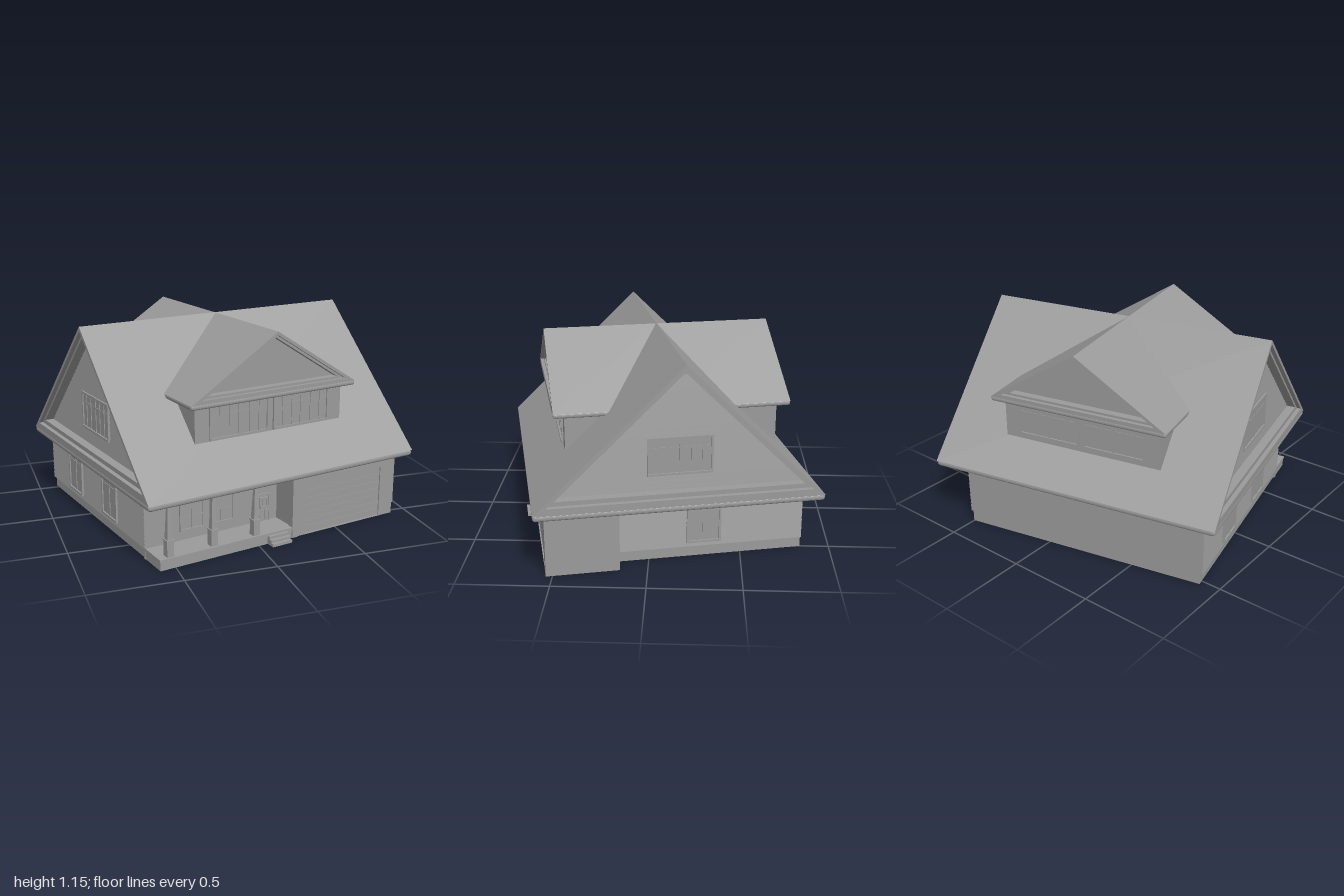
import * as THREE from 'three';
import { RoundedBoxGeometry } from 'three/addons/geometries/RoundedBoxGeometry.js';

const mat = new THREE.MeshStandardMaterial({ color: 0x9b9b9b, flatShading: true, side: THREE.DoubleSide });

function add(parent, name, geo) {
  const m = new THREE.Mesh(geo, mat);
  m.name = name;
  parent.add(m);
  return m;
}

// box given by its limits on each axis, with optional rounded edges
function box(parent, name, x0, x1, y0, y1, z0, z1, round = 0) {
  const size = [x1 - x0, y1 - y0, z1 - z0];
  const g = round ? new RoundedBoxGeometry(...size, 2, round) : new THREE.BoxGeometry(...size);
  g.translate((x0 + x1) / 2, (y0 + y1) / 2, (z0 + z1) / 2);
  return add(parent, name, g);
}

function group(parent, name, x = 0, y = 0, z = 0, ry = 0) {
  const g = new THREE.Group();
  g.name = name;
  g.position.set(x, y, z);
  g.rotation.y = ry;
  parent.add(g);
  return g;
}

// triangular prism along z with its peak at x = px; drop > 0 opens it to a frame
function gable(hw, y0, y1, z0, z1, px = 0, drop = 0, sill = 0) {
  const tri = (Cls, k, a, b) => {
    const s = new Cls();
    s.moveTo(px + (-hw - px) * k, a); s.lineTo(px + (hw - px) * k, a); s.lineTo(px, b); s.closePath();
    return s;
  };
  const shape = tri(THREE.Shape, 1, y0, y1);
  if (drop) shape.holes.push(tri(THREE.Path, (y1 - drop - y0 - sill) / (y1 - y0), y0 + sill, y1 - drop));
  const g = new THREE.ExtrudeGeometry(shape, { depth: z1 - z0, bevelEnabled: false });
  return g.translate(0, 0, z0);
}

// window facing +z: glass, frame and glazing bars, origin at bottom centre
function windowUnit(parent, name, x, y, z, ry, w, h, cols, transom = 0.72) {
  const g = group(parent, name, x, y, z, ry), t = 0.012;
  box(g, 'glass', -w / 2, w / 2, 0, h, -0.01, 0.003);
  for (const s of [-1, 1]) {
    const c = s * (w - t) / 2;
    box(g, 'frameSide', c - t / 2, c + t / 2, 0, h, 0, 0.01);
  }
  box(g, 'frameTop', -w / 2, w / 2, h - t, h, 0, 0.01);
  box(g, 'frameSill', -w / 2, w / 2, 0, t, 0, 0.012);
  for (let i = 1; i < cols; i++) {
    const c = -w / 2 + w * i / cols, b = i * 2 === cols ? 0.007 : 0.002;
    box(g, 'upright', c - b, c + b, 0, h, 0, 0.007);
  }
  box(g, 'transom', -w / 2, w / 2, h * transom - 0.003, h * transom + 0.003, 0, 0.006);
  return g;
}

// one wedge-shaped clapboard facing +x, running along z
function clapboard(parent, x, y, h, z0, z1) {
  const s = new THREE.Shape();
  s.moveTo(-0.004, 0); s.lineTo(0.007, 0); s.lineTo(0.002, h); s.lineTo(-0.004, h); s.closePath();
  const g = new THREE.ExtrudeGeometry(s, { depth: z1 - z0, bevelEnabled: false });
  add(parent, 'clapboard', g.translate(x, y, z0));
}

// wall planes: left and right ends, garage end, gable ends, front, back, porch
const LEFT = 0.68, RIGHT = 0.764, GEND = 0.774, END = 0.768;
const FRONT = 0.717, BACK = -0.71, PORCH = 0.555, GAR = 0.06, GBACK = 0.322;
const EAVE = 0.39, RIDGE = 1.15, ROOFW = 0.777, ROOFL = 0.85, RIDGEZ = -0.013;

function buildWalls(house) {
  const t = 0.02, f = 0.009, top = 0.365, base = 0.065;
  const walls = group(house, 'walls');
  box(walls, 'backWall', -RIGHT, LEFT, base, top, BACK, BACK + t);
  box(walls, 'leftWall', LEFT - t, LEFT, base, top, BACK, GBACK);
  box(walls, 'rightWall', -RIGHT, -RIGHT + t, base, top, BACK, PORCH);
  box(walls, 'porchWall', -RIGHT, GAR, 0, top, PORCH - t, PORCH);
  // foundation set in slightly under the end walls
  box(walls, 'foundationBack', -RIGHT + f, LEFT - f, 0, base, BACK, BACK + t);
  box(walls, 'foundationLeft', LEFT - t, LEFT - f, 0, base, BACK, GBACK);
  box(walls, 'foundationRight', -RIGHT + f, -RIGHT + t, 0, base, BACK, PORCH);
  box(walls, 'foundationGarage', GEND - t, GEND - f, 0, base, GBACK, FRONT);
  // garage stands out past the left wall
  box(walls, 'garageSideWall', GAR, GAR + t, 0, top, PORCH - t, FRONT);
  box(walls, 'garageOuterWall', GEND - t, GEND, base, top, GBACK, FRONT);
  box(walls, 'garageReturn', LEFT - t, GEND, base, top, GBACK, GBACK + t);
  box(walls, 'garageReturnFoundation', LEFT - t, GEND - f, 0, base, GBACK, GBACK + t);
  const s = new THREE.Shape();
  s.moveTo(GAR, 0); s.lineTo(GEND - f, 0); s.lineTo(GEND - f, base);
  s.lineTo(GEND, base); s.lineTo(GEND, top); s.lineTo(GAR, top); s.closePath();
  const h = new THREE.Path();
  h.moveTo(0.14, 0.004); h.lineTo(0.67, 0.004); h.lineTo(0.67, 0.3); h.lineTo(0.14, 0.3); h.closePath();
  s.holes.push(h);
  const g = new THREE.ExtrudeGeometry(s, { depth: t, bevelEnabled: false });
  add(walls, 'garageFront', g.translate(0, 0, FRONT - t));
  for (let i = 0; i < 7; i++) {
    const y = 0.004 + i * 0.0423;
    box(walls, 'garageDoorPanel', 0.14, 0.67, y + 0.001, y + 0.0413, FRONT - 0.016, FRONT - 0.007);
  }
  box(walls, 'garageDoorBacking', 0.14, 0.67, 0.004, 0.3, FRONT - 0.018, FRONT - 0.01);
  box(walls, 'garageCornerTrim', GAR - 0.006, GAR + 0.03, 0, top, FRONT - 0.03, FRONT + 0.006);
}

function buildPorch(house) {
  const porch = group(house, 'porch');
  box(porch, 'porchFloor', -RIGHT + 0.004, GAR, 0, 0.06, PORCH, FRONT);
  box(porch, 'porchFloorEdge', -RIGHT, GAR, 0.05, 0.062, PORCH, FRONT + 0.005);
  box(porch, 'porchBeam', -RIGHT, GAR, 0.335, 0.365, FRONT - 0.045, FRONT - 0.005);
  box(porch, 'porchEndBeam', -RIGHT, -RIGHT + 0.04, 0.335, 0.365, PORCH, FRONT - 0.005);
  // tapered columns on square piers
  for (const x of [-0.697, -0.435, -0.172]) {
    const col = group(porch, 'column', x, 0.06, FRONT - 0.026);
    box(col, 'pier', -0.02, 0.02, 0, 0.088, -0.02, 0.02);
    box(col, 'pierCap', -0.023, 0.023, 0.088, 0.095, -0.023, 0.023);
    const shaft = new THREE.CylinderGeometry(0.012, 0.023, 0.178, 4).rotateY(Math.PI / 4);
    add(col, 'shaft', shaft.translate(0, 0.183, 0));
    box(col, 'capital', -0.012, 0.012, 0.267, 0.277, -0.012, 0.012);
  }
  for (let i = 0; i < 3; i++) {
    box(porch, 'step', -0.105, 0.02, 0, 0.016 * (3 - i), FRONT, FRONT + 0.018 * (i + 1));
  }
  // front door with glazed top
  const door = group(porch, 'frontDoor', -0.03, 0.06, PORCH);
  box(door, 'leaf', -0.036, 0.036, 0, 0.155, -0.025, 0.004);
  for (const s of [-1, 1]) box(door, 'jamb', s * 0.038 - 0.005, s * 0.038 + 0.005, 0, 0.165, -0.025, 0.008);
  box(door, 'lintel', -0.043, 0.043, 0.155, 0.165, -0.025, 0.008);
  for (const s of [-1, 1]) box(door, 'lowerPanel', s * 0.016 - 0.011, s * 0.016 + 0.011, 0.015, 0.07, 0, 0.007);
  windowUnit(door, 'doorLight', 0, 0.083, 0.002, 0, 0.055, 0.062, 2, 0.5);
  for (const x of [-0.485, -0.3]) windowUnit(porch, 'porchWindow', x, 0.112, PORCH, 0, 0.152, 0.17, 2, 0.48);
}

function buildRoof(house) {
  const roof = group(house, 'mainRoof');
  const part = (name, hw, peak, len, drop, sill) =>
    add(roof, name, gable(hw, EAVE, peak, -len, len, -RIDGEZ, drop, sill).rotateY(Math.PI / 2));
  part('roofShell', ROOFW, RIDGE, ROOFL, 0.025, 0.04);
  part('gableTrim', ROOFW - 0.02, RIDGE - 0.02, ROOFL - 0.025, 0.025, 0.065);
  part('gableWalls', ROOFW - 0.015, RIDGE - 0.015, END);
  box(roof, 'eave', -ROOFL, ROOFL, 0.358, 0.397, -ROOFW, ROOFW, 0.016);
}

function buildSiding(house) {
  for (const side of [1, -1]) {
    const end = group(house, side > 0 ? 'leftEnd' : 'rightEnd', 0, 0, 0, side > 0 ? 0 : Math.PI);
    // gable boards shorten toward the ridge
    const p = 0.03, q = 0.025;
    for (let y = 0.45; y < RIDGE - 0.09; y += p) {
      const k = (RIDGE - y) / (RIDGE - EAVE), mid = side * RIDGEZ * (1 - k);
      const half = ROOFW * k - 0.045;
      clapboard(end, END, y, p, mid - half, mid + half);
    }
    windowUnit(end, 'gableWindow', END + 0.006, 0.54, 0, Math.PI / 2, 0.35, 0.21, 6);
    // boards and windows on the lower wall
    const x = side > 0 ? LEFT : RIGHT;
    const z0 = side > 0 ? BACK : -PORCH, z1 = side > 0 ? GBACK : -BACK;
    for (let i = 0; i < 12; i++) clapboard(end, x, 0.065 + i * q, q, z0, z1);
    for (const z of side > 0 ? [-0.153] : [0.33, -0.14]) {
      windowUnit(end, 'sideWindow', x + 0.006, 0.09, z, Math.PI / 2, 0.19, 0.26, 2);
    }
  }
}

// dormer running from the ridge at z0 out to its front
function buildDormer(house, name, ry, z0, front) {
  const d = group(house, name, 0, 0, 0, ry);
  const hw = 0.525, wall = front - 0.062;
  add(d, 'dormerRoof', gable(hw, 0.815, RIDGE - 0.002, z0, front, 0, 0.02, 0.022));
  add(d, 'dormerTrim', gable(hw - 0.025, 0.815, RIDGE - 0.018, 0.3, front - 0.02, 0, 0.02, 0.035));
  add(d, 'pediment', gable(hw - 0.02, 0.815, RIDGE - 0.015, 0.1, wall));
  box(d, 'dormerEave', -hw, hw, 0.79, 0.82, 0.3, front, 0.012);
  box(d, 'dormerWalls', -0.472, 0.472, 0.5, 0.8, 0.2, wall);
  for (const s of [-1, 1]) windowUnit(d, 'dormerWindow', s * 0.2, 0.595, wall, 0, 0.37, 0.193, 6);
}

export function createModel() {
  const model = new THREE.Group();
  model.name = 'house';
  // the house stands turned on its plot
  const house = group(model, 'turnedHouse', 0, 0, 0, 0.218);
  buildWalls(house);
  buildPorch(house);
  buildRoof(house);
  buildSiding(house);
  buildDormer(house, 'frontDormer', 0, RIDGEZ, 0.632);
  buildDormer(house, 'backDormer', Math.PI, -RIDGEZ, 0.664);
  return model;
}
